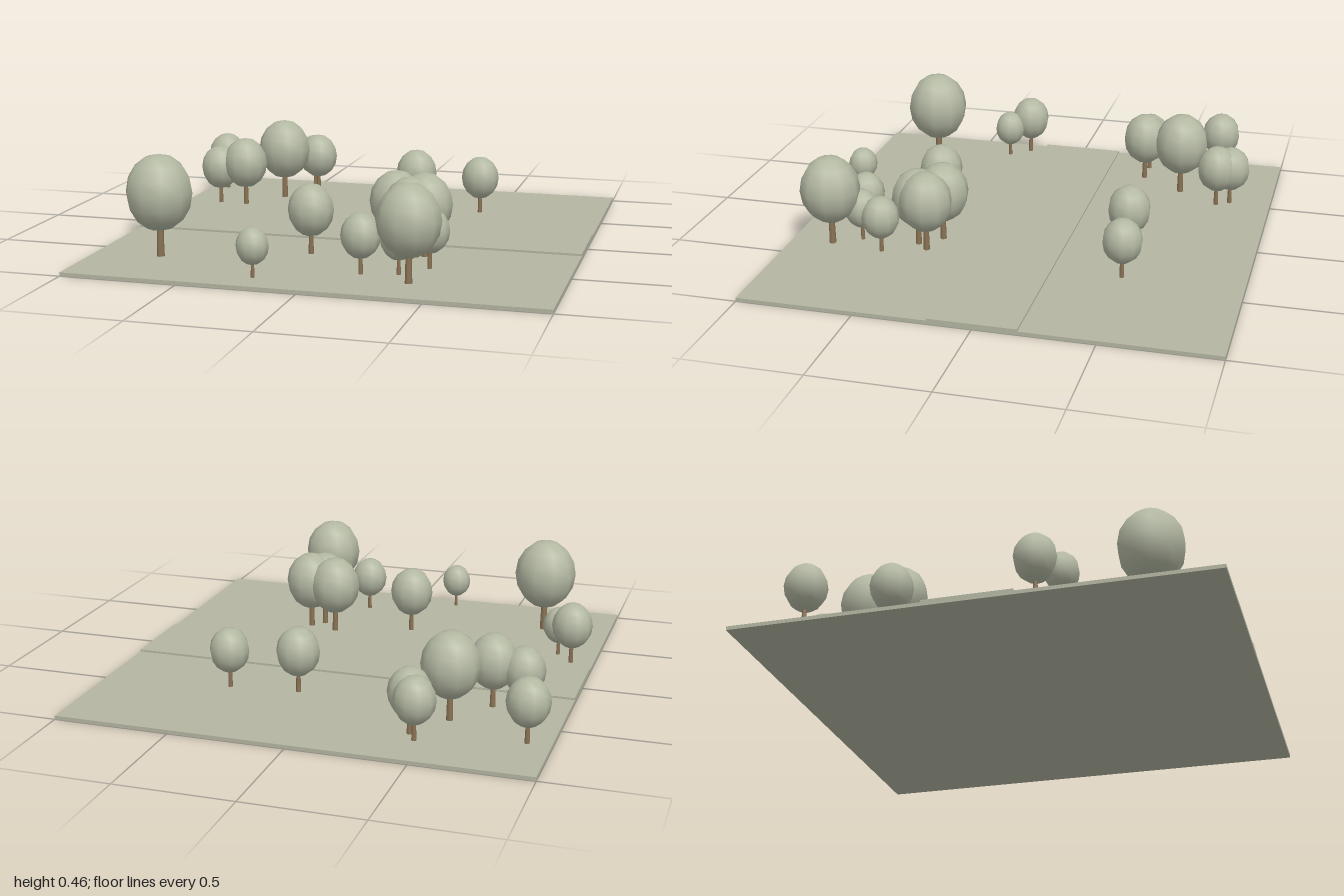
import * as THREE from 'three';

const mat = (name, color) => {
  const m = new THREE.MeshStandardMaterial({ color });
  m.name = name;
  return m;
};

export function createModel() {
  const model = new THREE.Group();
  model.name = 'treePark';
  const ground = mat('ground', 0xb4b6a2);
  const foliage = mat('foliage', 0xb3b8a2);
  const bark = mat('bark', 0x8b7355);

  const add = (parent, name, geometry, material, y) => {
    const mesh = new THREE.Mesh(geometry, material);
    mesh.name = name;
    mesh.position.y = y;
    parent.add(mesh);
    return mesh;
  };

  // Thin square lawn with a raised path across the middle
  add(model, 'lawn', new THREE.BoxGeometry(2, 0.016, 2), ground, 0.008);
  add(model, 'path', new THREE.BoxGeometry(2, 0.01, 0.372), ground, 0.02);

  // One tree of unit crown radius, scaled for each place
  const crownGeo = new THREE.SphereGeometry(1, 10, 8);
  crownGeo.rotateY(Math.PI / 20);
  crownGeo.scale(1, 1.15, 1);
  const trunkGeo = new THREE.CylinderGeometry(0.085, 0.12, 1.4, 7);

  // x, z, crown radius
  const trees = [
    [-0.905, -0.71, 0.09], [-0.475, -0.815, 0.088], [-0.44, -0.757, 0.092],
    [-0.557, -0.57, 0.124], [-0.818, -0.375, 0.09], [-0.69, -0.375, 0.104],
    [0.134, -0.457, 0.094], [0.433, -0.487, 0.086], [-0.904, 0.249, 0.09],
    [-0.83, 0.336, 0.072], [-0.697, 0.67, 0.141], [-0.102, 0.466, 0.098],
    [0.24, 0.352, 0.115], [0.37, 0.388, 0.116], [0.32, 0.44, 0.113],
    [0.433, 0.572, 0.082], [0.185, 0.726, 0.082], [0.334, 0.694, 0.076],
    [0.402, 0.81, 0.131], [-0.214, 0.89, 0.067],
  ];
  for (const [x, z, r] of trees) {
    const tree = new THREE.Group();
    tree.name = 'tree';
    add(tree, 'trunk', trunkGeo, bark, 0.7);
    add(tree, 'crown', crownGeo, foliage, 1.93);
    tree.scale.setScalar(r);
    tree.position.set(x, 0.023, z);
    model.add(tree);
  }
  return model;
}
